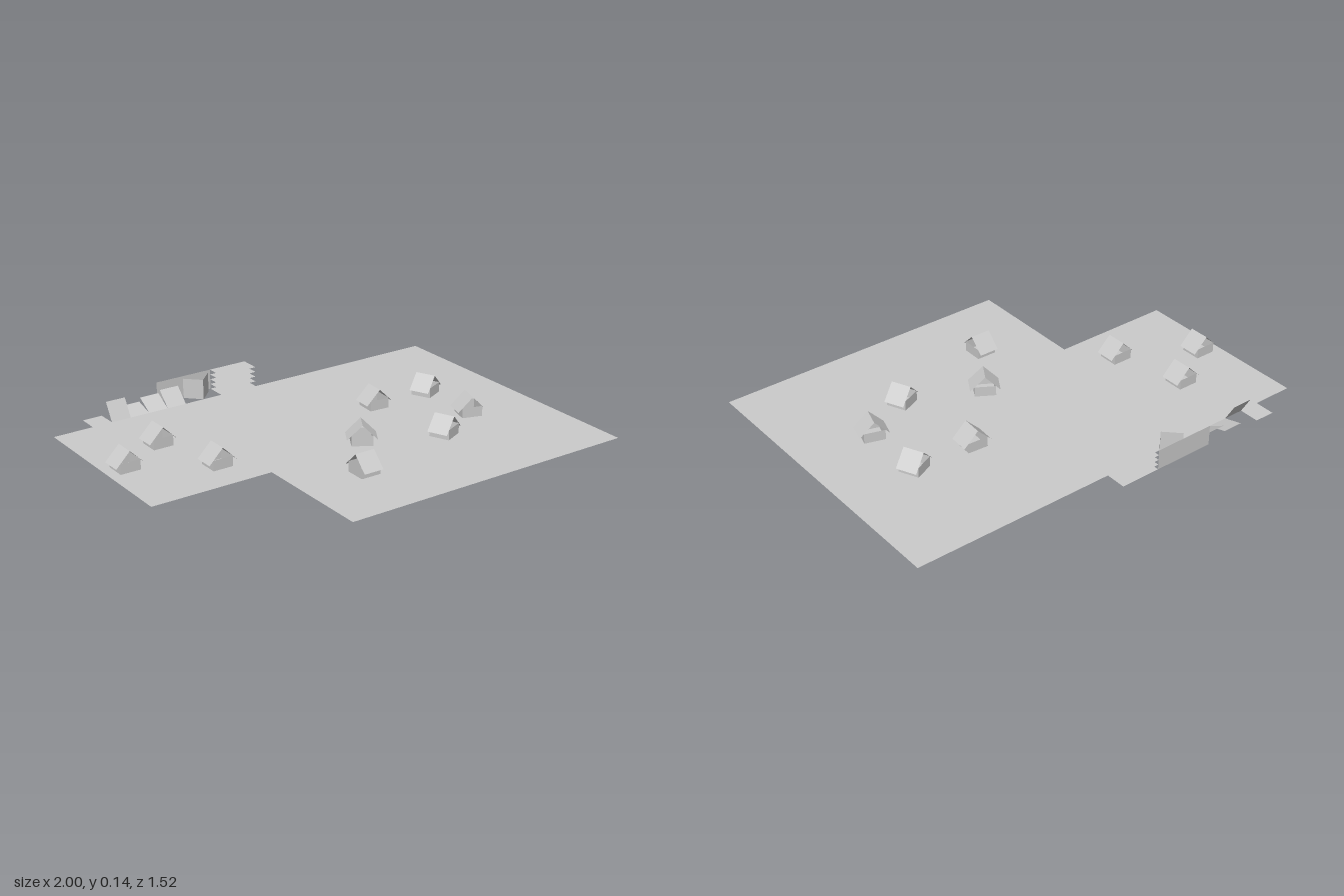
import * as THREE from 'three';

// One grid unit: the layout is 21 units wide
const S = 2 / 21;
const GROUND_Y = S / 2;
const BACK_Z = -7 * S;
const material = new THREE.MeshStandardMaterial({
  color: 0xcccccc, flatShading: true, side: THREE.DoubleSide,
});

// Column index to x position
const col = (i) => -1 + i * S;

function addMesh(parent, name, geometry) {
  const mesh = new THREE.Mesh(geometry, material);
  mesh.name = name;
  parent.add(mesh);
  return mesh;
}

// Flat sheet lying on its near edge, reaching back (-z) and tilted up by degrees
function tiltedSheet(width, depth, degrees) {
  return new THREE.PlaneGeometry(width, depth)
    .translate(0, depth / 2, 0)
    .rotateX(-Math.PI / 2 + THREE.MathUtils.degToRad(degrees));
}

// House: four open walls under two 45 degree roof sheets with open gables
function createHouse() {
  const house = new THREE.Group();
  house.name = 'house';
  for (let i = 0; i < 4; i++) {
    const wall = new THREE.PlaneGeometry(S, S)
      .translate(0, S / 2, S / 2)
      .rotateY(i * Math.PI / 2);
    addMesh(house, 'houseWall', wall);
  }
  for (const side of [-1, 1]) {
    const slope = new THREE.PlaneGeometry(S, S)
      .rotateX(-Math.PI / 2)
      .translate(side * S / 2, 0, 0)
      .rotateZ(-side * Math.PI / 4)
      .translate(0, 1.5 * S, 0);
    addMesh(house, 'roofSlope', slope);
  }
  return house;
}

export function createModel() {
  const model = new THREE.Group();
  model.name = 'village';

  // L-shaped ground, cutting through the houses at half wall height
  const corners = [[0, -7], [21, -7], [21, 8], [6, 8], [6, 2], [0, 2]];
  const outline = new THREE.Shape(
    corners.map(([x, z]) => new THREE.Vector2(col(x), -z * S)));
  const ground = new THREE.ShapeGeometry(outline).rotateX(-Math.PI / 2);
  addMesh(model, 'ground', ground).position.y = GROUND_Y;

  // Houses: x, z, turn in degrees
  const houses = [
    [-0.905, -0.195, 0], [-0.667, -0.335, 0], [-0.573, -0.003, 0],
    [0.353, -0.147, -4], [0.643, -0.138, 25], [0.063, 0.15, -31],
    [0.648, 0.167, -17], [0.405, 0.294, 24], [-0.117, 0.416, -90.5],
  ];
  for (const [x, z, turn] of houses) {
    const house = createHouse();
    house.position.set(x, 0, z);
    house.rotation.y = THREE.MathUtils.degToRad(turn);
    model.add(house);
  }

  // Row of panels hinged on the back edge at different angles
  [0, 60, 15, 30, 45].forEach((angle, i) => {
    addMesh(model, 'tiltedPanel', tiltedSheet(S, S, angle))
      .position.set(col(2.5 + i), GROUND_Y, BACK_Z);
  });

  // Upright wall behind the back edge
  addMesh(model, 'backWall', tiltedSheet(3 * S, S, 90))
    .position.set(col(7.5), GROUND_Y, BACK_Z - S);

  // Two upright panels meeting in a corner that points forward
  for (const side of [-1, 1]) {
    const panel = tiltedSheet(S, S, 90)
      .translate(side * S / 2, 0, 0)
      .rotateY(side * Math.PI / 4);
    addMesh(model, 'cornerPanel', panel).position.set(col(8), GROUND_Y, BACK_Z);
  }

  // Stack of horizontal shelves
  for (let i = 0; i < 5; i++) {
    addMesh(model, 'shelf', tiltedSheet(2 * S, S, 0))
      .position.set(col(10), GROUND_Y + i * S / 4, BACK_Z);
  }

  return model;
}
